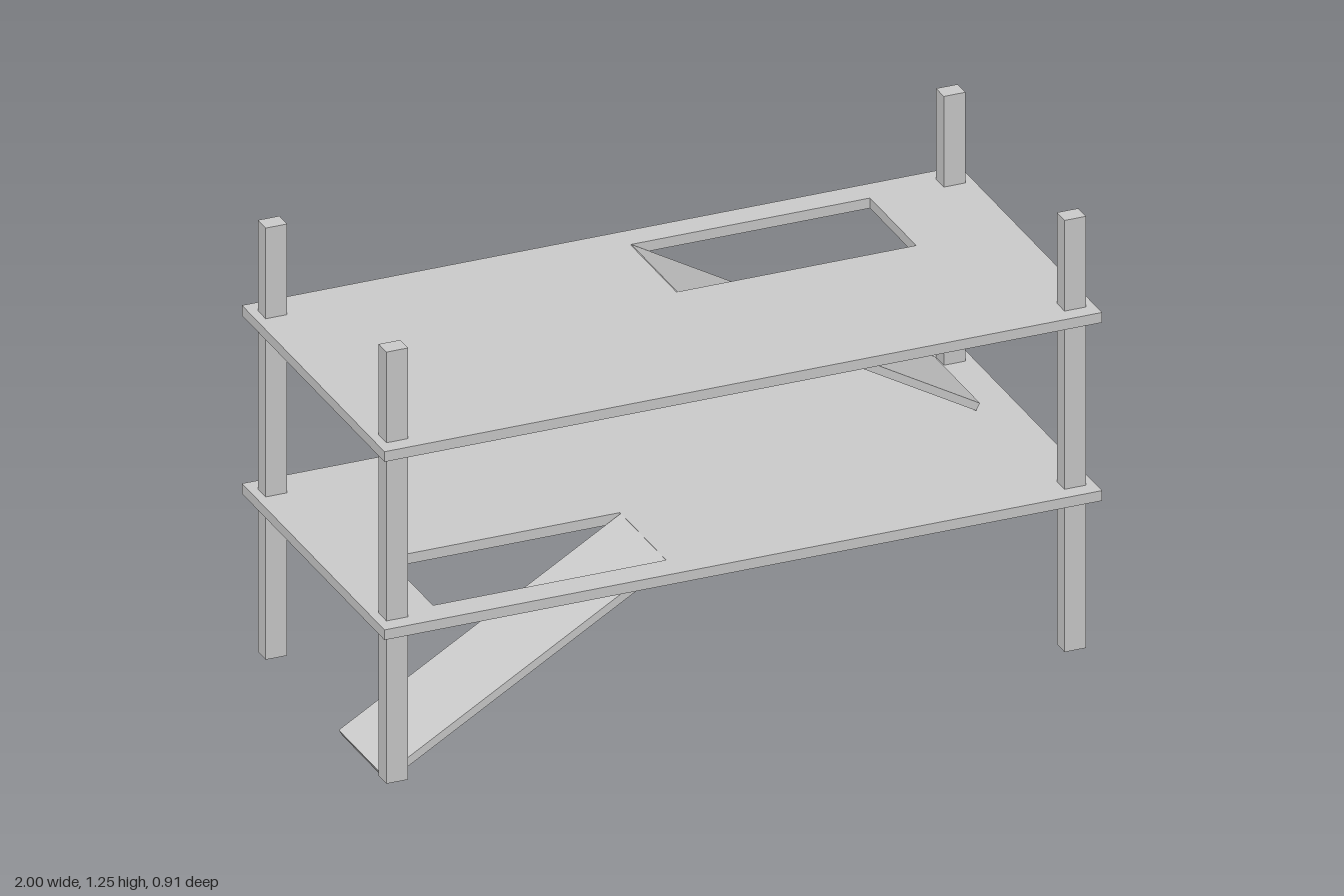
import * as THREE from 'three';

const material = new THREE.MeshStandardMaterial({ color: 0xcccccc, flatShading: true });

function addMesh(parent, name, geometry) {
  const mesh = new THREE.Mesh(geometry, material);
  mesh.name = name;
  parent.add(mesh);
  return mesh;
}

// Trace a rectangle on a Shape or Path
function rectangle(path, x0, y0, x1, y1) {
  path.moveTo(x0, y0).lineTo(x1, y0).lineTo(x1, y1).lineTo(x0, y1).closePath();
  return path;
}

// Floor slab with a rectangular stair opening
function addFloor(parent, name, y, thickness, hole) {
  const shape = rectangle(new THREE.Shape(), -1, -0.457, 1, 0.457);
  // shape y becomes -z once the slab is laid flat
  shape.holes.push(rectangle(new THREE.Path(), hole.x0, -hole.z1, hole.x1, -hole.z0));
  const geometry = new THREE.ExtrudeGeometry(shape, { depth: thickness, bevelEnabled: false });
  geometry.rotateX(-Math.PI / 2);
  addMesh(parent, name, geometry).position.y = y;
}

// Sloping board whose upper face runs from the left point to the right point
function addRamp(parent, name, left, right, z, width) {
  const thickness = 0.022;
  const dx = right[0] - left[0], dy = right[1] - left[1];
  const geometry = new THREE.BoxGeometry(Math.hypot(dx, dy), thickness, width);
  geometry.translate(0, -thickness / 2, 0);
  const ramp = addMesh(parent, name, geometry);
  ramp.position.set((left[0] + right[0]) / 2, (left[1] + right[1]) / 2, z);
  ramp.rotation.z = Math.atan2(dy, dx);
}

export function createModel() {
  const model = new THREE.Group();
  model.name = 'twoLevelPlatform';

  // Corner posts
  for (const sx of [-1, 1]) {
    for (const sz of [-1, 1]) {
      const name = (sz > 0 ? 'front' : 'back') + (sx > 0 ? 'Left' : 'Right') + 'Post';
      const post = addMesh(model, name, new THREE.BoxGeometry(0.06, 1.233, 0.05));
      post.position.set(sx * 0.945, 0.017 + 1.233 / 2, sz * 0.387);
    }
  }

  // Floors
  addFloor(model, 'lowerFloor', 0.453, 0.029, { x0: -0.83, x1: -0.18, z0: 0.081, z1: 0.377 });
  addFloor(model, 'upperFloor', 0.962, 0.029, { x0: 0.05, x1: 0.717, z0: -0.38, z1: -0.084 });

  // Ramps
  addRamp(model, 'lowerRamp', [-0.966, 0.019], [-0.18, 0.481], 0.229, 0.288);
  addRamp(model, 'upperRamp', [0.05, 0.993], [0.895, 0.505], -0.23, 0.292);

  return model;
}
